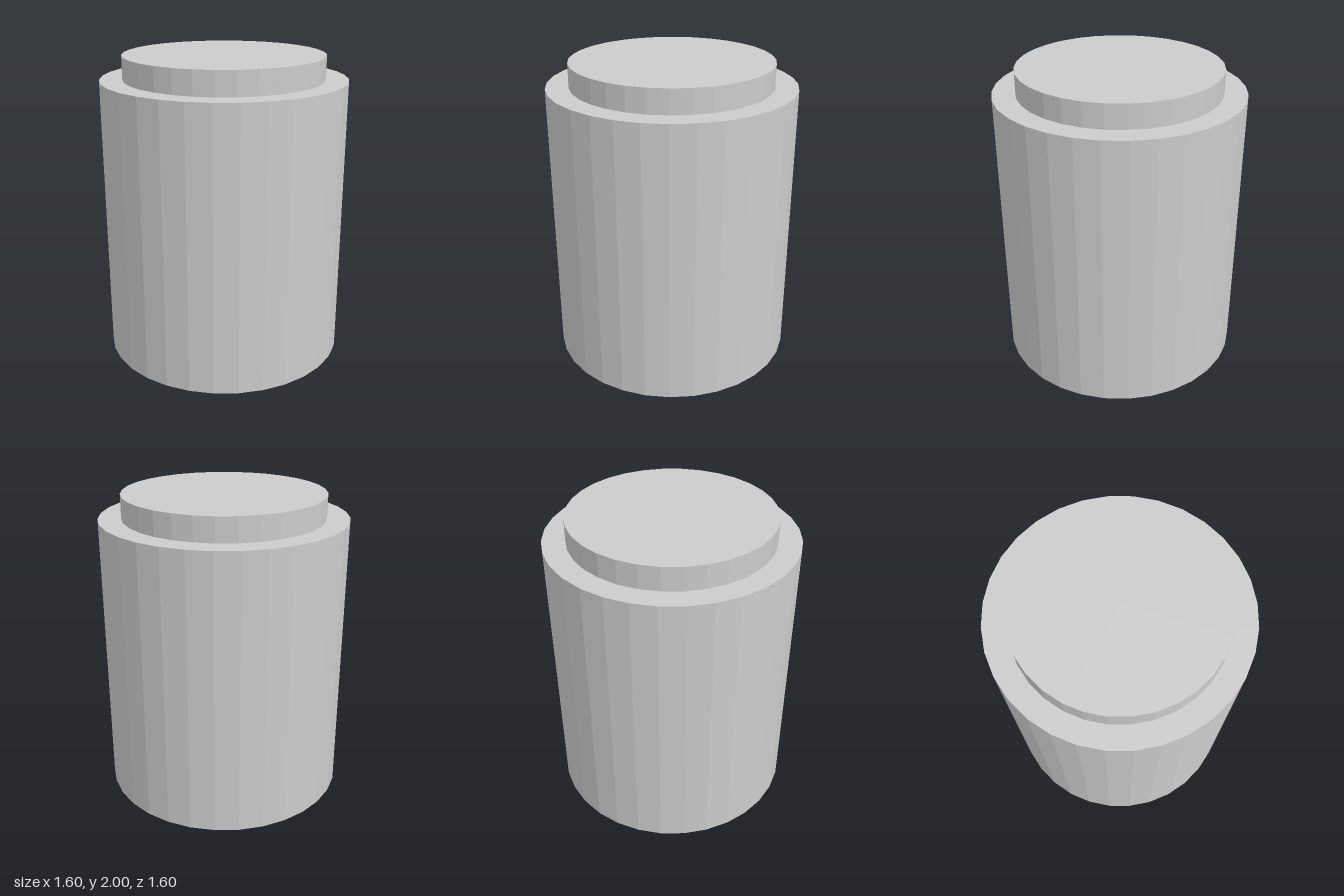
import * as THREE from 'three';

const SIDES = 32;

export function createModel() {
  const group = new THREE.Group();
  const material = new THREE.MeshStandardMaterial({ color: 0xcccccc, flatShading: true });

  // Upright faceted cylinder spanning two heights
  const addCylinder = (name, radius, bottom, top) => {
    const height = top - bottom;
    const mesh = new THREE.Mesh(new THREE.CylinderGeometry(radius, radius, height, SIDES), material);
    mesh.name = name;
    mesh.position.y = bottom + height / 2;
    group.add(mesh);
  };

  // Wide body with a narrower raised disc on top
  addCylinder('body', 0.8, 0, 1.846);
  addCylinder('topDisc', 0.653, 1.846, 2);

  return group;
}
